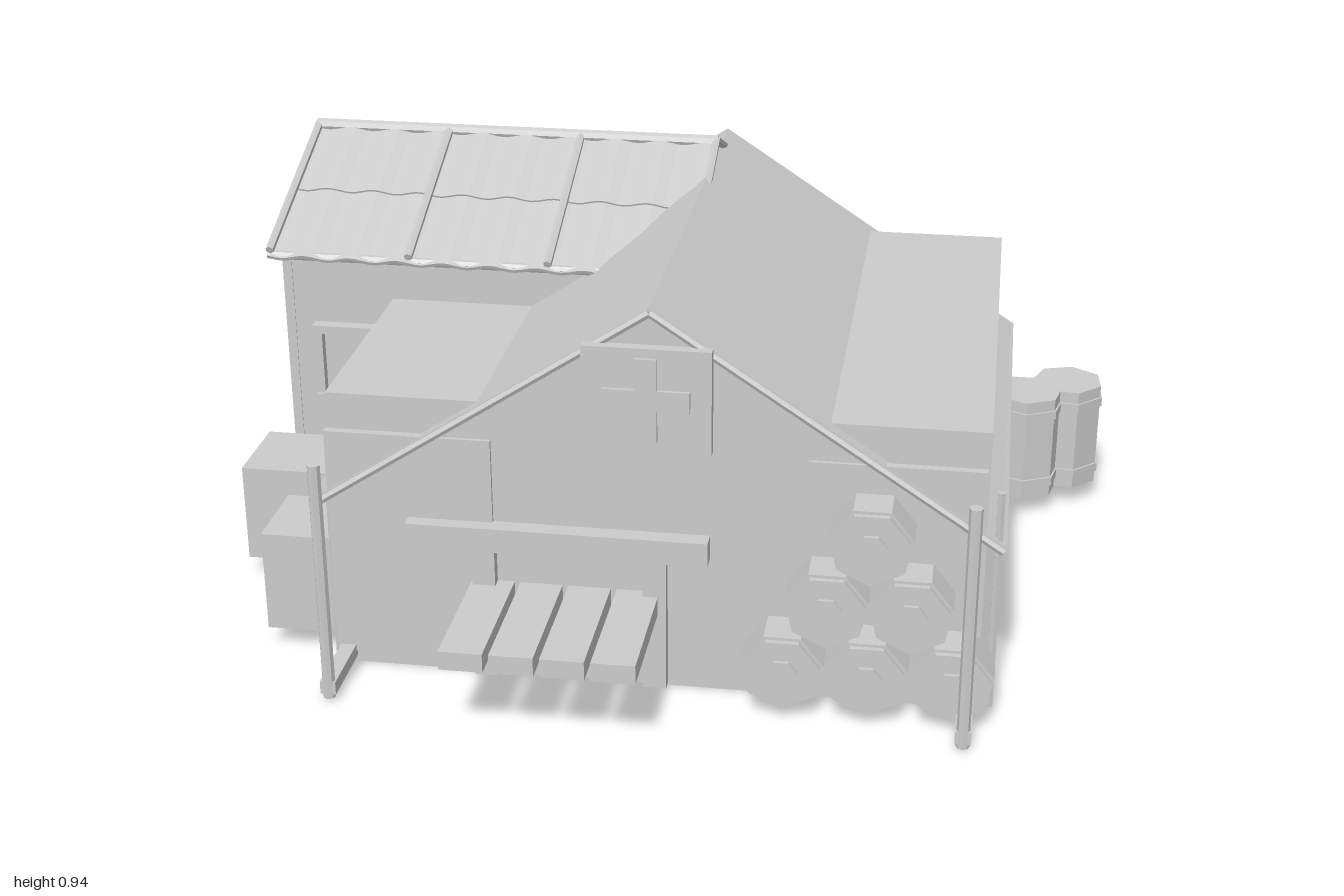
import * as THREE from 'three';

export function createModel() {
  const root = new THREE.Group();
  const grey = new THREE.MeshStandardMaterial({ color: 0xcccccc, flatShading: true });
  grey.name = 'plain grey';

  function add(name, geometry, parent = root) {
    const mesh = new THREE.Mesh(geometry, grey);
    mesh.name = name;
    parent.add(mesh);
    return mesh;
  }
  // box given by its minimum and maximum on each axis
  function block(name, x0, x1, y0, y1, z0, z1, parent = root) {
    const mesh = add(name, new THREE.BoxGeometry(x1 - x0, y1 - y0, z1 - z0), parent);
    mesh.position.set((x0 + x1) / 2, (y0 + y1) / 2, (z0 + z1) / 2);
    return mesh;
  }
  // round bar between two points
  function bar(name, from, to, r, sides = 6) {
    const a = new THREE.Vector3(...from), b = new THREE.Vector3(...to);
    const dir = b.clone().sub(a);
    const mesh = add(name, new THREE.CylinderGeometry(r, r, dir.length(), sides));
    mesh.position.copy(a).add(b).multiplyScalar(0.5);
    mesh.quaternion.setFromUnitVectors(new THREE.Vector3(0, 1, 0), dir.normalize());
    return mesh;
  }
  function prism(name, points, z0, z1) {
    const shape = new THREE.Shape(points.map(p => new THREE.Vector2(...p)));
    const geo = new THREE.ExtrudeGeometry(shape, { depth: z1 - z0, bevelEnabled: false });
    geo.translate(0, 0, z0);
    return add(name, geo);
  }

  // main hall: gabled shell with a flat-topped block poking through the slopes
  const cx = 0.02;
  prism('gabledHall', [[cx - 0.7, 0], [cx + 0.7, 0], [cx + 0.7, 0.4], [cx, 0.86], [cx - 0.7, 0.4]], -0.66, 0.55);
  prism('tentRoof', [[cx - 0.74, 0.38], [cx - 0.7, 0.395], [cx, 0.86], [cx + 0.7, 0.395],
    [cx + 0.74, 0.38], [cx + 0.74, 0.395], [cx, 0.88], [cx - 0.74, 0.395]], -0.69, 0.562);
  block('hallBlock', cx - 0.7, cx + 0.7, 0.01, 0.637, -0.655, 0.53);
  for (const s of [-1, 1]) {
    const x = cx + s * 0.735;
    bar('eaveRail', [x, 0.39, -0.69], [x, 0.39, 0.56], 0.009);
    for (const z of [-0.685, 0.562]) bar('gableRail', [x, 0.385, z], [cx, 0.87, z], 0.009);
    for (const z of [-0.66, 0.535]) bar('cornerPost', [cx + s * 0.7, 0, z], [cx + s * 0.7, 0.39, z], 0.011);
    // free-standing front posts with a foot rail
    const px = cx + s * 0.675;
    bar('frontPost', [px, 0.005, 0.71], [px, 0.555, 0.71], 0.014, 8);
    block('footRail', px - 0.017, px + 0.017, 0.015, 0.045, 0.52, 0.72);
  }
  bar('sidePole', [0.745, 0.005, 0.54], [0.745, 0.51, 0.54], 0.009);

  // front panels, door posts and lintel
  block('leftPanel', -0.68, -0.32, 0.03, 0.56, 0.54, 0.558);
  block('rightPanel', 0.35, 0.715, 0.02, 0.56, 0.54, 0.558);
  for (const x of [-0.365, 0.005]) block('doorPost', x, x + 0.05, 0.005, 0.32, 0.54, 0.575);
  block('lintel', -0.505, 0.145, 0.315, 0.37, 0.54, 0.59);
  for (let i = 0; i < 4; i++) {
    const x = -0.37 + i * 0.105;
    block('counterPlank', x, x + 0.092, 0.185, 0.227, 0.55, 0.862);
  }

  // sign board with a raised cross
  const sign = new THREE.Group();
  sign.name = 'signBoard';
  root.add(sign);
  block('board', -0.118, 0.152, 0.572, 0.802, 0.564, 0.588, sign);
  block('crossUpright', -0.007, 0.04, 0.598, 0.782, 0.588, 0.596, sign);
  block('crossArmLeft', -0.075, -0.007, 0.667, 0.713, 0.588, 0.596, sign);
  block('crossArmRight', 0.04, 0.108, 0.667, 0.713, 0.588, 0.596, sign);

  // barrel: seven-sided drum with two hoops, standing upright around its centre
  function barrel(name, r, h, lid) {
    const g = new THREE.Group();
    g.name = name;
    add('drum', new THREE.CylinderGeometry(r, r, h, 7), g);
    if (lid) {
      const rim = add('rim', new THREE.CylinderGeometry(r * 0.92, r * 0.92, 0.012, 7), g);
      rim.position.y = h / 2 + 0.006;
      const knob = add('knob', new THREE.CylinderGeometry(r * 0.4, r * 0.4, 0.012, 7), g);
      knob.position.y = h / 2 + 0.014;
    } else {
      for (const y of [-0.09, 0.09]) {
        const hoop = add('hoop', new THREE.CylinderGeometry(r + 0.005, r + 0.005, 0.022, 7), g);
        hoop.position.y = y;
      }
    }
    root.add(g);
    return g;
  }
  // stack of lying drums
  [[0.31, 0.108], [0.487, 0.108], [0.665, 0.108], [0.4, 0.262], [0.575, 0.262], [0.488, 0.415]].forEach(([x, y]) => {
    const g = barrel('stackedDrum', 0.09, 0.11, true);
    g.position.set(x, y, 0.585);
    g.rotation.set(Math.PI / 2, 0, 0);
  });
  // standing barrels beside the hall
  [[0.905, -0.538, 0.3], [0.805, -0.46, 0]].forEach(([x, z, turn]) => {
    const g = barrel('sideBarrel', 0.087, 0.26, false);
    g.position.set(x, 0.18, z);
    g.rotation.y = turn;
  });

  // crates on the other side
  block('largeCrate', -1, -0.7, 0.05, 0.283, 0, 0.205);
  block('smallCrate', -0.85, -0.69, 0.05, 0.283, 0.325, 0.52);

  // annex: gabled walls running across, with upright seams
  const rz = -0.43;
  const annex = prism('annexWalls', [[-0.41, 0], [0.41, 0], [0.41, 0.735], [0, 0.895], [-0.41, 0.735]], 0, 0.93);
  annex.rotation.y = Math.PI / 2;
  annex.position.set(-0.93, 0, rz);
  for (let i = 0; i < 5; i++) {
    const x = -0.925 + i * 0.23;
    block('backSeam', x - 0.009, x + 0.009, 0.005, 0.735, rz - 0.42, rz - 0.4);
  }
  for (const z of [rz - 0.37, rz + 0.4]) block('sidePost', -0.942, -0.92, 0.005, 0.735, z - 0.012, z + 0.012);
  // front opening of the annex
  block('windowHead', -0.872, -0.69, 0.55, 0.57, -0.03, 0.01);
  block('windowSill', -0.872, -0.69, 0.375, 0.395, -0.03, 0.01);
  for (const x of [-0.872, -0.71]) block('windowJamb', x, x + 0.02, 0.39, 0.555, -0.03, 0.002);

  // corrugated roof in two overlapping rows per slope
  const slope = 0.39;
  for (const s of [-1, 1]) {
    for (const row of [0, 1]) {
      const geo = new THREE.BoxGeometry(0.99, 0.008, 0.245, 72, 1, 1);
      const p = geo.attributes.position;
      for (let i = 0; i < p.count; i++) {
        p.setY(i, p.getY(i) + 0.005 * Math.sin(p.getX(i) * Math.PI * 2 / 0.11));
      }
      const sheet = add('corrugatedSheet', geo);
      const d = 0.12 + row * 0.235;
      sheet.position.set(-0.467, 0.923 - d * Math.sin(slope) - row * 0.005, rz + s * d * Math.cos(slope));
      sheet.rotation.x = s * slope;
    }
    for (const x of [-0.962, -0.632, -0.305, 0.025]) {
      bar('roofBatten', [x, 0.93, rz], [x, 0.752, rz + s * 0.437], 0.01);
    }
    bar('eavePole', [-0.97, 0.738, rz + s * 0.427], [0.03, 0.738, rz + s * 0.427], 0.01);
  }
  bar('ridgePole', [-0.967, 0.925, rz], [0.03, 0.925, rz], 0.016, 8);

  return root;
}
